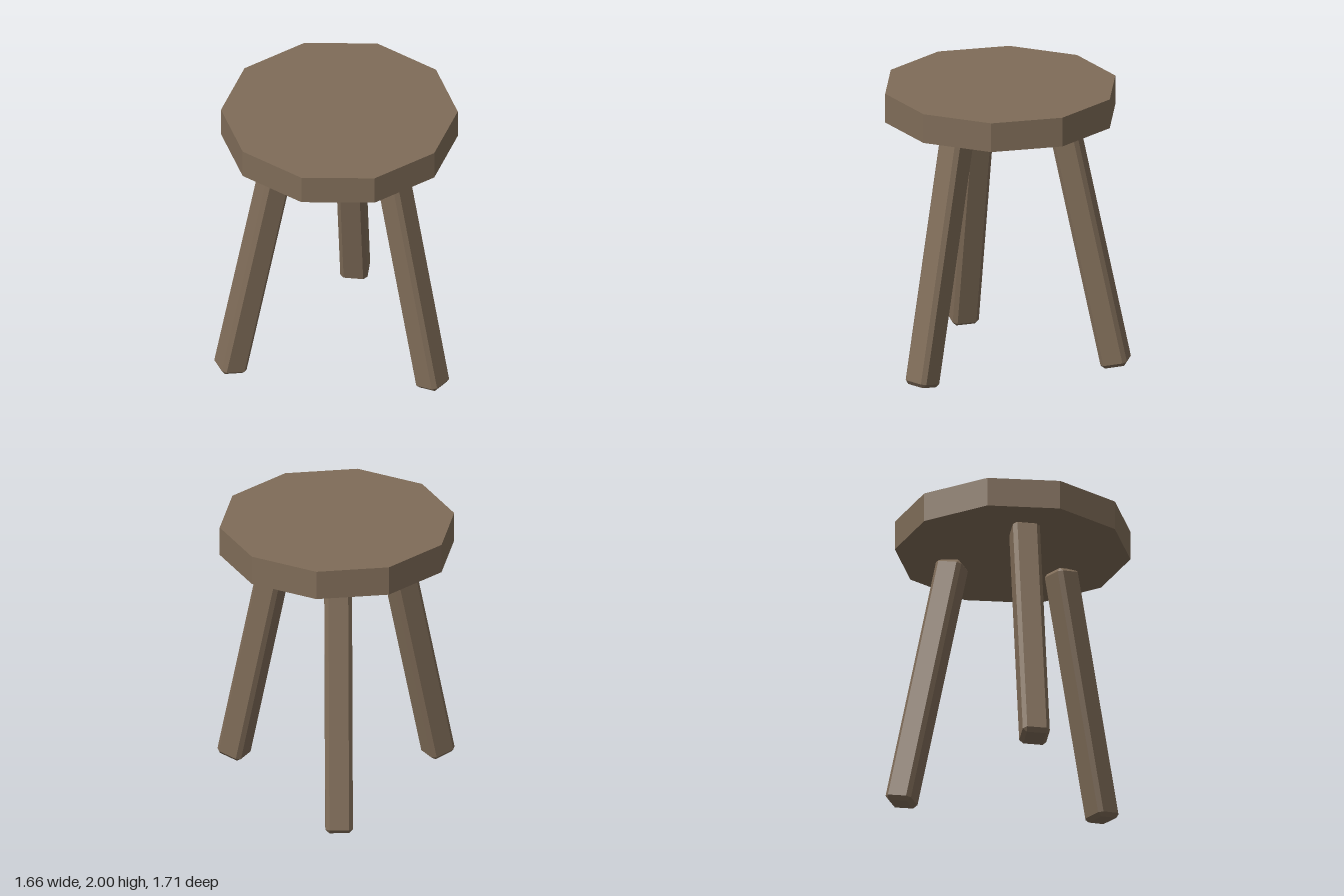
import * as THREE from 'three';
import { ConvexGeometry } from 'three/addons/geometries/ConvexGeometry.js';

// Box with every edge and corner cut off flat
function chamferedBox(width, height, depth, cut) {
  const half = [width / 2, height / 2, depth / 2];
  const points = [];
  for (let axis = 0; axis < 3; axis++) {
    for (const sx of [-1, 1]) for (const sy of [-1, 1]) for (const sz of [-1, 1]) {
      const p = half.map((h, i) => (i === axis ? h : h - cut));
      points.push(new THREE.Vector3(p[0] * sx, p[1] * sy, p[2] * sz));
    }
  }
  return new ConvexGeometry(points);
}

export function createModel() {
  const stool = new THREE.Group();
  stool.name = 'stool';
  const wood = new THREE.MeshStandardMaterial({ color: 0x7f6c58 });
  wood.name = 'brown wood';
  wood.flatShading = true;

  // Everything is arranged around the seat's axis
  const centre = new THREE.Vector3(-0.053, 0, -0.042);

  // Ten-sided seat
  const seat = new THREE.Mesh(new THREE.CylinderGeometry(0.817, 0.817, 0.21, 10), wood);
  seat.name = 'seat';
  seat.position.copy(centre).setY(1.895);
  stool.add(seat);

  // Three splayed legs
  const footRadius = 0.818, topRadius = 0.438, footY = 0.0145, topY = 1.79;
  const spread = footRadius - topRadius, rise = topY - footY;
  const legGeometry = chamferedBox(0.19, Math.hypot(spread, rise), 0.19, 0.027);
  ['leftLeg', 'backRightLeg', 'frontLeg'].forEach((name, i) => {
    const pivot = new THREE.Group();
    pivot.name = name;
    pivot.position.copy(centre);
    pivot.rotation.y = THREE.MathUtils.degToRad(17 + 120 * i);
    const leg = new THREE.Mesh(legGeometry, wood);
    leg.name = name + 'Post';
    leg.position.set((footRadius + topRadius) / 2, (footY + topY) / 2, 0);
    leg.rotation.z = Math.atan2(spread, rise);
    pivot.add(leg);
    stool.add(pivot);
  });

  return stool;
}
